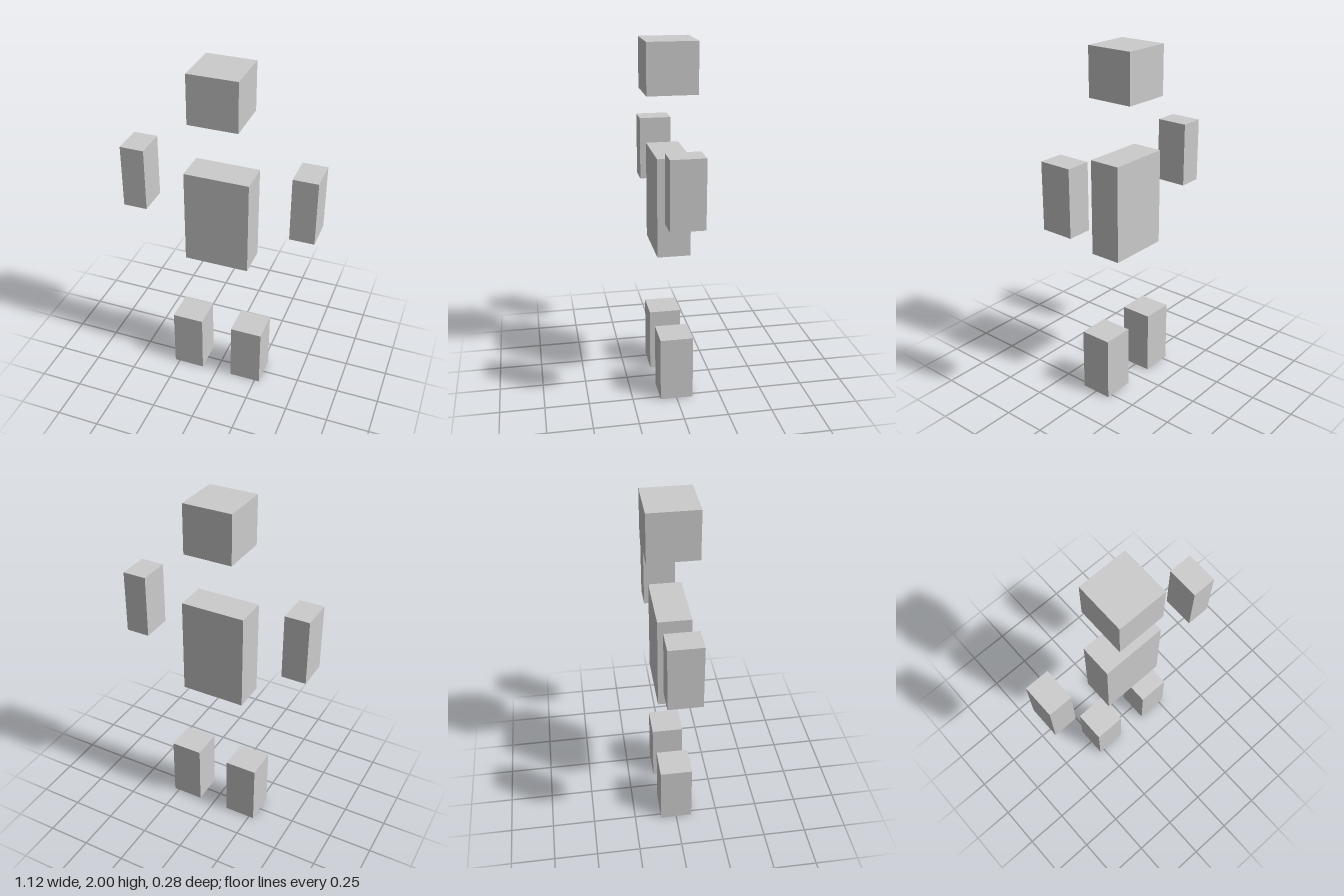
import * as THREE from 'three';

// The figure is laid out on a whole-number block grid, 43 blocks tall
const U = 2 / 43;

export function createModel() {
  const model = new THREE.Group();
  const material = new THREE.MeshStandardMaterial({ color: 0xcccccc, flatShading: true });

  // Block of w x h x d grid units, centred on x, with its base at y
  const block = (name, w, h, d, x, y) => {
    const mesh = new THREE.Mesh(new THREE.BoxGeometry(w * U, h * U, d * U), material);
    mesh.name = name;
    mesh.position.set(x * U, (y + h / 2) * U, 0);
    model.add(mesh);
  };

  block('head', 6, 6, 6, 0, 37);
  block('torso', 8, 12, 4, 0, 18);

  // Mirrored limbs, floating clear of the torso
  for (const [side, s] of [['left', 1], ['right', -1]]) {
    block(side + 'Arm', 3, 8, 4, s * 10.5, 24);
    block(side + 'Leg', 4, 8, 4, s * 4, 0);
  }
  return model;
}
